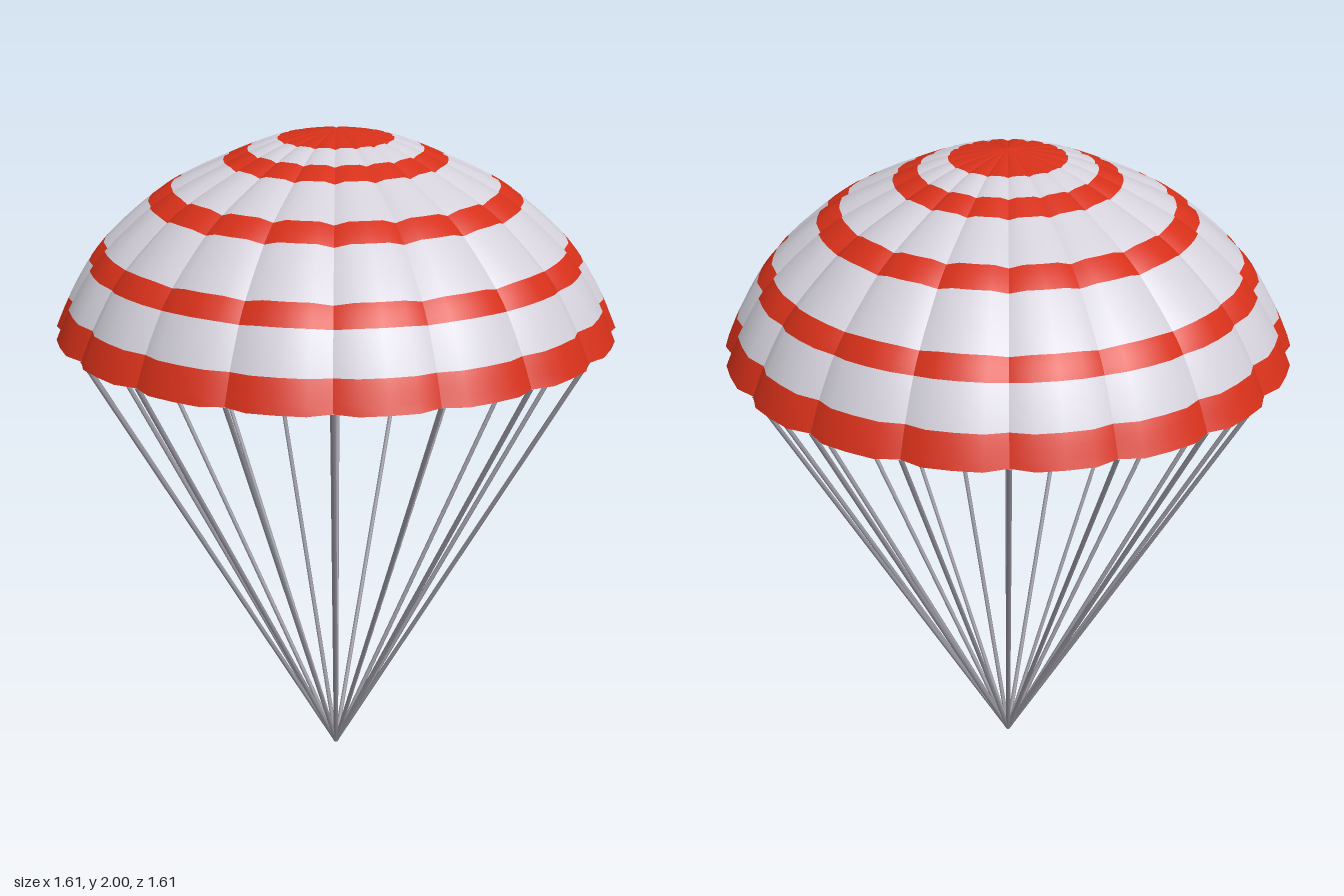
import * as THREE from 'three';

const GORES = 18;
const STEP = (Math.PI * 2) / GORES;
const RIM_Y = 1.446, RIM_R = 0.806;
const SEAM_DEPTH = 0.03; // depth of the seams as a share of the radius

// Crown-to-rim profile (radius, height); each span is one stripe, red first
const PROFILE = [
  [0, 2], [0.163, 1.974], [0.247, 1.945], [0.315, 1.916], [0.463, 1.846],
  [0.528, 1.804], [0.658, 1.69], [0.702, 1.637], [0.767, 1.53], [RIM_R, RIM_Y],
];

// Cross-section of a gore: angle as a share of the half width, sink towards the seam
const SECTION = [[-1, 1], [-0.54, 0], [0, 0], [0.54, 0], [1, 1]];

function goreGeometry() {
  const spans = PROFILE.length - 1, sub = 3, rows = spans * sub, cols = SECTION.length;
  const curve = new THREE.CatmullRomCurve3(PROFILE.map(([r, y]) => new THREE.Vector3(r, y, 0)));
  const positions = [], index = [];
  const geometry = new THREE.BufferGeometry();

  for (let i = 0; i <= rows; i++) {
    const t = i / rows;
    const p = curve.getPoint(t), tangent = curve.getTangent(t);
    for (const [share, sink] of SECTION) {
      // Seams sink along the surface normal, levelling out at the rim
      const depth = sink * SEAM_DEPTH * p.x;
      const r = p.x + depth * tangent.y;
      const y = p.y - depth * tangent.x * (1 - t ** 4);
      const a = (share * STEP) / 2;
      positions.push(r * Math.sin(a), y, r * Math.cos(a));
    }
  }
  // One material group per stripe, alternating red and white
  for (let s = 0; s < spans; s++) {
    const start = index.length;
    for (let i = s * sub; i < (s + 1) * sub; i++) {
      for (let j = 0; j < cols - 1; j++) {
        const a = i * cols + j, b = a + 1, c = a + cols, d = c + 1;
        index.push(a, c, d);
        if (i > 0) index.push(a, d, b);
      }
    }
    geometry.addGroup(start, index.length - start, s % 2);
  }
  geometry.setAttribute('position', new THREE.Float32BufferAttribute(positions, 3));
  geometry.setIndex(index);
  geometry.computeVertexNormals();
  return geometry;
}

export function createModel() {
  const model = new THREE.Group();
  model.name = 'parachute';

  const red = new THREE.MeshStandardMaterial({ color: 0xd63019, side: THREE.DoubleSide });
  red.name = 'red fabric';
  const white = new THREE.MeshStandardMaterial({ color: 0xd3d0da, side: THREE.DoubleSide });
  white.name = 'white fabric';
  const cord = new THREE.MeshStandardMaterial({ color: 0x9a99a3 });
  cord.name = 'grey cord';

  // Canopy: eighteen identical billowed gores, creased at the seams
  const canopy = new THREE.Group();
  canopy.name = 'canopy';
  const gore = goreGeometry();
  for (let k = 0; k < GORES; k++) {
    const mesh = new THREE.Mesh(gore, [red, white]);
    mesh.name = 'gore';
    mesh.rotation.y = k * STEP;
    canopy.add(mesh);
  }
  model.add(canopy);

  // Suspension lines: from the rim end of every seam down to one point
  const lines = new THREE.Group();
  lines.name = 'suspensionLines';
  const bottom = new THREE.Vector3(0, 0.003, 0);
  const top = new THREE.Vector3(0, RIM_Y + 0.003, RIM_R - 0.024);
  const lineGeometry = new THREE.TubeGeometry(new THREE.LineCurve3(bottom, top), 1, 0.007, 6);
  for (let k = 0; k < GORES; k++) {
    const line = new THREE.Mesh(lineGeometry, cord);
    line.name = 'suspensionLine';
    line.rotation.y = (k + 0.5) * STEP;
    lines.add(line);
  }
  model.add(lines);

  return model;
}
